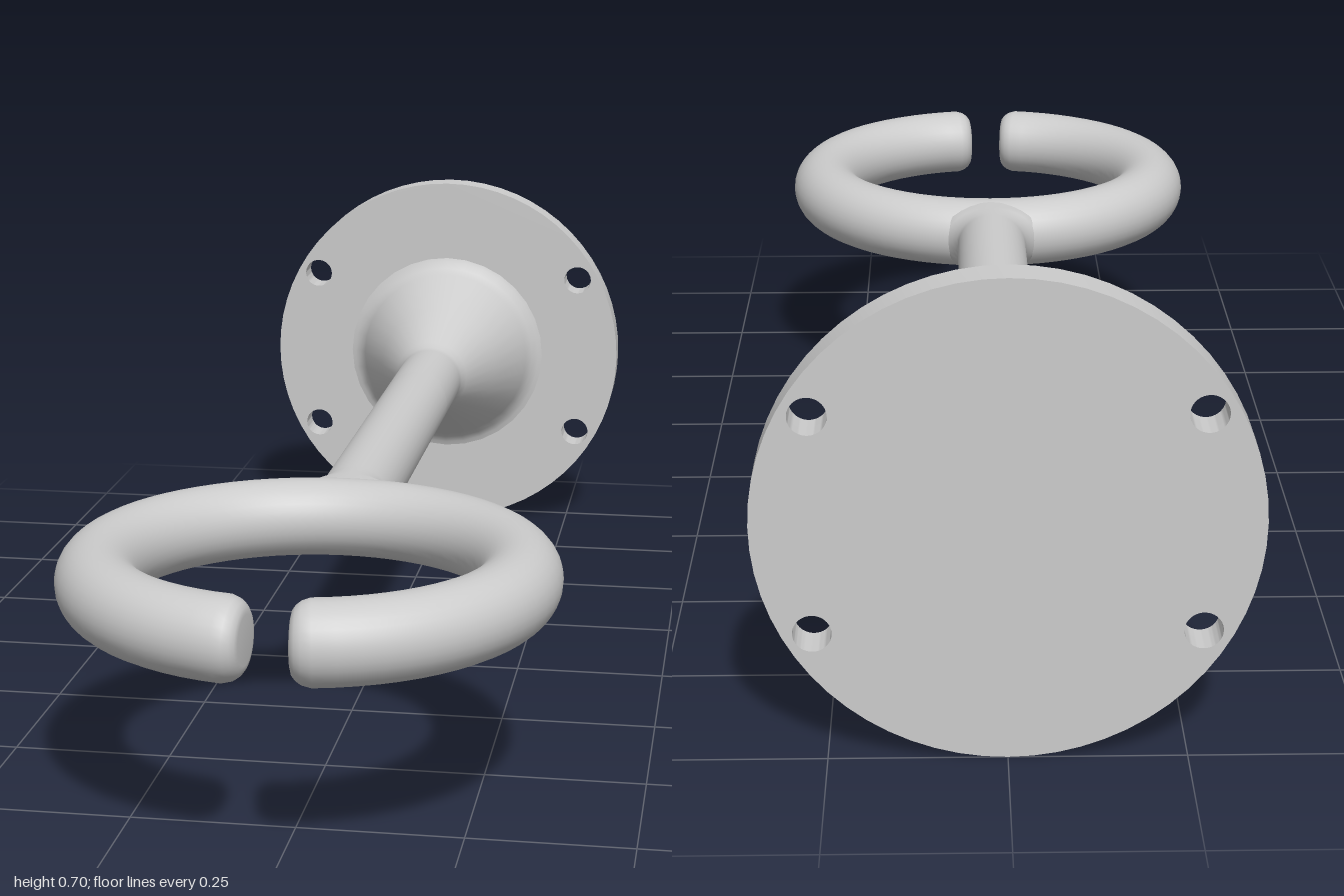
import * as THREE from 'three';
import { mergeVertices, toCreasedNormals } from 'three/addons/utils/BufferGeometryUtils.js';

const CY = 0.352; // height of the common axis
const SIDES = 32;

// Skin a list of elliptical cross-sections { c: centre, u, v: half axes }
function sweep(stations) {
  const pos = [], index = [];
  for (const { c, u, v } of stations) {
    for (let j = 0; j < SIDES; j++) {
      const t = (j / SIDES) * Math.PI * 2;
      const p = c.clone().addScaledVector(u, Math.cos(t)).addScaledVector(v, Math.sin(t));
      pos.push(p.x, p.y, p.z);
    }
  }
  for (let i = 0; i < stations.length - 1; i++) {
    for (let j = 0; j < SIDES; j++) {
      const k = (j + 1) % SIDES;
      const a = i * SIDES + j, b = a + SIDES, d = i * SIDES + k, e = d + SIDES;
      index.push(a, b, d, b, e, d);
    }
  }
  const g = new THREE.BufferGeometry();
  g.setAttribute('position', new THREE.Float32BufferAttribute(pos, 3));
  g.setIndex(index);
  const merged = mergeVertices(g, 1e-5);
  merged.computeVertexNormals();
  return merged;
}

export function createModel() {
  const group = new THREE.Group();
  const material = new THREE.MeshStandardMaterial({ color: 0xcccccc });
  const add = (name, geometry) => {
    const mesh = new THREE.Mesh(geometry, material);
    mesh.name = name;
    mesh.position.y = CY;
    group.add(mesh);
  };

  // Round wall flange with four screw holes
  const disc = new THREE.Shape().absarc(0, 0, 0.351, 0, Math.PI * 2);
  for (const sx of [-1, 1]) {
    for (const sy of [-1, 1]) {
      disc.holes.push(new THREE.Path().absarc(sx * 0.268, sy * 0.159, 0.027, 0, Math.PI * 2, true));
    }
  }
  const flange = new THREE.ExtrudeGeometry(disc, { depth: 0.057, bevelEnabled: false, curveSegments: 32 });
  flange.translate(0, 0, -1);
  add('wallFlange', toCreasedNormals(flange, 0.7));

  // Flared neck rising from the flange, ending in a short collar
  const profile = [
    [0.205, -0.945], [0.19, -0.941], [0.178, -0.933], [0.167, -0.918],
    [0.115, -0.807], [0.07, -0.709], [0.063, -0.692], [0.061, -0.675], [0.061, -0.48],
  ].map(([r, z]) => new THREE.Vector2(r, z));
  const neck = new THREE.LatheGeometry(profile, SIDES);
  neck.rotateX(Math.PI / 2);
  add('flaredNeck', neck);

  // Straight rod, widening sideways in a small fillet where it meets the ring
  const rod = [
    [-0.5, 0.061], [-0.2, 0.061], [0.22, 0.061], [0.235, 0.064],
    [0.25, 0.071], [0.262, 0.082], [0.272, 0.096], [0.3, 0.1],
  ].map(([z, w]) => ({
    c: new THREE.Vector3(0, 0, z),
    u: new THREE.Vector3(-w, 0, 0),
    v: new THREE.Vector3(0, 0.061, 0),
  }));
  add('rod', sweep(rod));

  // Open ring with softly rounded ends, gap facing forward
  const R = 0.314, r = 0.062, gap = 0.1;
  const tip = [[0, 0], [0, 0.036], [0.002, 0.045], [0.007, 0.052], [0.015, 0.058], [0.028, r]];
  const arcs = tip.map(([s, w]) => [gap + s / R, w]);
  const first = arcs[arcs.length - 1][0], steps = 64;
  for (let i = 1; i < steps; i++) arcs.push([first + (i / steps) * 2 * (Math.PI - first), r]);
  for (const [s, w] of [...tip].reverse()) arcs.push([Math.PI * 2 - gap - s / R, w]);
  const ring = arcs.map(([a, w]) => {
    const radial = new THREE.Vector3(Math.sin(a), 0, Math.cos(a));
    return {
      c: radial.clone().multiplyScalar(R).add(new THREE.Vector3(0, 0, 0.625)),
      u: radial.multiplyScalar(w),
      v: new THREE.Vector3(0, w, 0),
    };
  });
  add('openRing', sweep(ring));

  return group;
}
